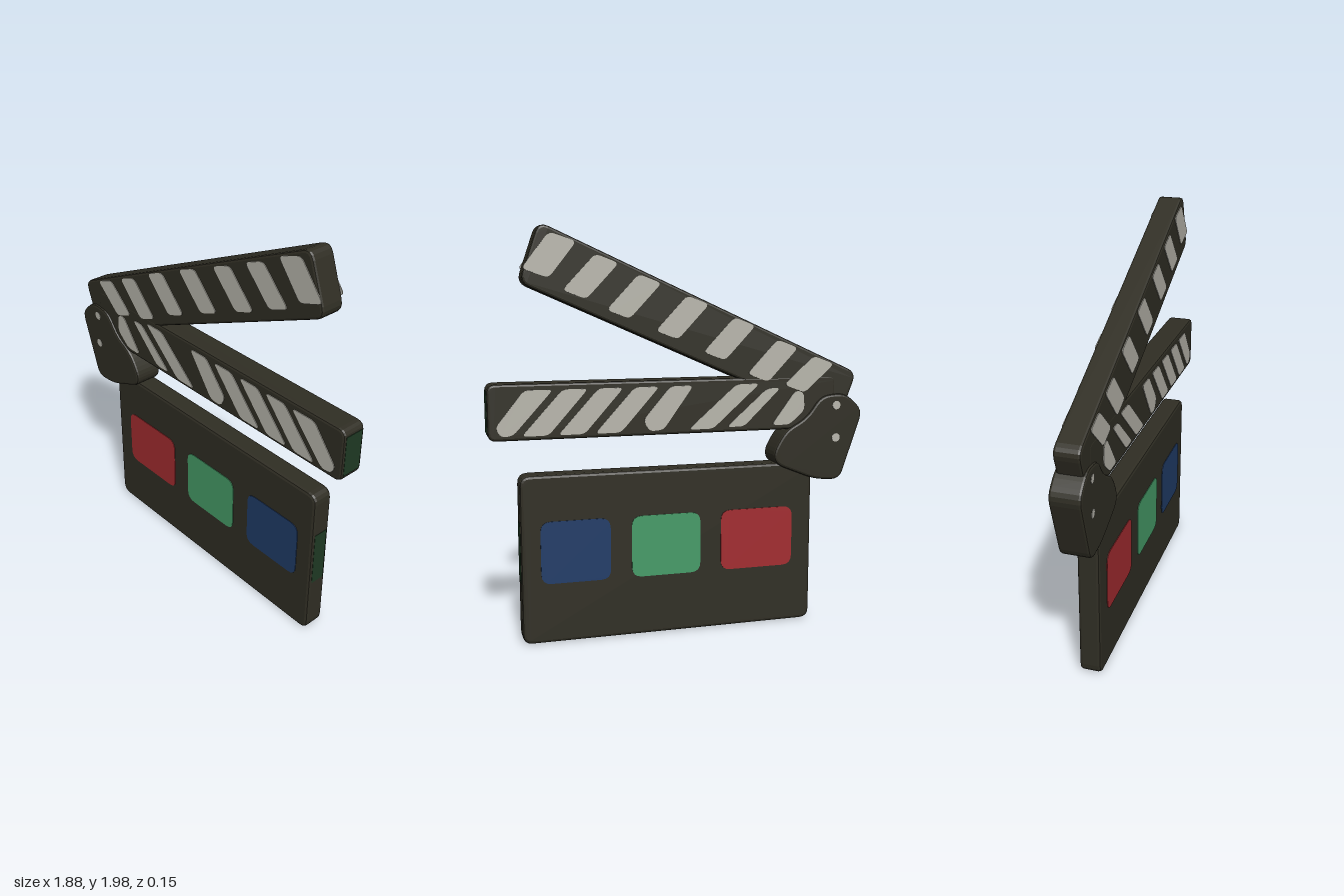
import * as THREE from 'three';

const material = (name, color) => {
  const m = new THREE.MeshStandardMaterial({ color });
  m.name = name;
  return m;
};

// Closed polygon with every corner rounded by radius r
function roundedShape(points, r) {
  const p = points.map(([x, y]) => new THREE.Vector2(x, y));
  const shape = new THREE.Shape();
  p.forEach((c, i) => {
    const prev = p[(i + p.length - 1) % p.length], next = p[(i + 1) % p.length];
    const toward = (q) => c.clone().lerp(q, Math.min(0.45, r / c.distanceTo(q)));
    const a = toward(prev), b = toward(next);
    if (i === 0) shape.moveTo(a.x, a.y);
    else shape.lineTo(a.x, a.y);
    shape.quadraticCurveTo(c.x, c.y, b.x, b.y);
  });
  shape.closePath();
  return shape;
}

// Slab of the given half thickness, centred on z = 0
function slab(name, points, half, r, bevel, mat) {
  const geo = new THREE.ExtrudeGeometry(roundedShape(points, r), {
    depth: 2 * (half - bevel), bevelEnabled: true, bevelThickness: bevel,
    bevelSize: bevel, bevelOffset: -bevel, bevelSegments: 2, curveSegments: 4,
  });
  geo.translate(0, 0, -(half - bevel));
  const mesh = new THREE.Mesh(geo, mat);
  mesh.name = name;
  return mesh;
}

// Thin painted plate on both the front and the back face
function paint(name, points, z, r, mat) {
  const group = new THREE.Group();
  group.name = name;
  const geo = new THREE.ExtrudeGeometry(roundedShape(points, r), {
    depth: 0.004, bevelEnabled: false, curveSegments: 4,
  });
  for (const offset of [z - 0.002, -z - 0.002]) {
    const mesh = new THREE.Mesh(geo, mat);
    mesh.position.z = offset;
    mesh.name = name + (offset > 0 ? 'Front' : 'Back');
    group.add(mesh);
  }
  return group;
}

const rect = (x0, y0, x1, y1) => [[x0, y0], [x1, y0], [x1, y1], [x0, y1]];

export function createModel() {
  const model = new THREE.Group();
  model.name = 'clapperboard';
  const dark = material('charcoal', 0x302e24);
  const silver = material('silver', 0xb8b6ac);
  const red = material('red', 0xa32c30);
  const green = material('green', 0x469c68);
  const blue = material('blue', 0x203c68);
  const darkGreen = material('darkGreen', 0x1f3a24);

  // Board, arms and hinge
  model.add(
    slab('board', rect(-0.68, 0.01, 0.795, 0.835), 0.053, 0.05, 0.015, dark),
    slab('lowerArm', rect(-0.8, 1.005, 0.935, 1.27), 0.062, 0.04, 0.012, dark),
    slab('upperArm', [[-0.82, 1.03], [0.775, 1.73], [0.68, 2.005], [-0.915, 1.28]],
      0.061, 0.05, 0.012, dark),
    slab('hinge', [[-0.83, 0.735], [-0.69, 0.745], [-0.48, 0.83], [-0.465, 0.89], [-0.53, 1.0],
      [-0.64, 1.06], [-0.72, 1.17], [-0.85, 1.18], [-0.95, 1.09]], 0.073, 0.05, 0.012, dark),
  );

  // Colour panels
  model.add(
    paint('redPanel', rect(-0.575, 0.305, -0.197, 0.61), 0.054, 0.05, red),
    paint('greenPanel', rect(-0.09, 0.305, 0.258, 0.61), 0.054, 0.05, green),
    paint('bluePanel', rect(0.363, 0.305, 0.702, 0.61), 0.054, 0.05, blue),
  );

  // Lower arm stripes: the first ones are cut short by the hinge
  const lower = [
    [[-0.625, 1.19], [-0.58, 1.2], [-0.455, 1.03], [-0.55, 1.03], [-0.63, 1.1]],
    [[-0.5, 1.215], [-0.43, 1.215], [-0.22, 1.03], [-0.31, 1.03]],
    [[-0.05, 1.24], [0.065, 1.24], [0.2, 1.08], [0.17, 1.025], [0.1, 1.03]],
    [[0.63, 1.24], [0.765, 1.24], [0.9, 1.07], [0.875, 1.025], [0.82, 1.03]],
  ];
  for (const x of [-0.39, 0.12, 0.295, 0.465]) {
    const run = x < 0 ? 0.24 : 0.19;
    lower.push([[x, 1.24], [x + 0.12, 1.24], [x + 0.125 + run, 1.025], [x + run, 1.025]]);
  }
  lower.forEach((pts, i) => model.add(paint('lowerStripe' + (i + 1), pts, 0.0635, 0.025, silver)));

  // Upper arm stripes, given by their upper left corners
  const upper = [[-0.785, 1.328], [-0.59, 1.412], [-0.365, 1.523], [-0.128, 1.628],
    [0.108, 1.728], [0.313, 1.82], [0.51, 1.917]];
  upper.forEach(([x, y], i) => {
    const dx = i === 6 ? 0.13 : 0.155, dy = i === 0 ? -0.14 : -0.165, w = i === 6 ? 0.125 : 0.11;
    const pts = [[x, y], [x + w, y + 0.042], [x + w + dx, y + 0.042 + dy], [x + dx, y + dy]];
    model.add(paint('upperStripe' + (i + 1), pts, 0.0625, 0.025, silver));
  });

  // Hinge pins
  for (const y of [0.955, 1.12]) {
    const pin = new THREE.Mesh(new THREE.CylinderGeometry(0.022, 0.022, 0.15, 12), silver);
    pin.rotation.x = Math.PI / 2;
    pin.position.set(-0.8, y, 0);
    pin.name = 'hingePin';
    model.add(pin);
  }

  // Dark green end faces
  const endPlate = (name, x, y, h, d) => {
    const mesh = new THREE.Mesh(new THREE.BoxGeometry(0.004, h, d), darkGreen);
    mesh.position.set(x, y, 0);
    mesh.name = name;
    model.add(mesh);
  };
  endPlate('lowerArmEnd', 0.9345, 1.1375, 0.2, 0.1);
  endPlate('boardSideMark', 0.7945, 0.46, 0.29, 0.076);

  return model;
}
